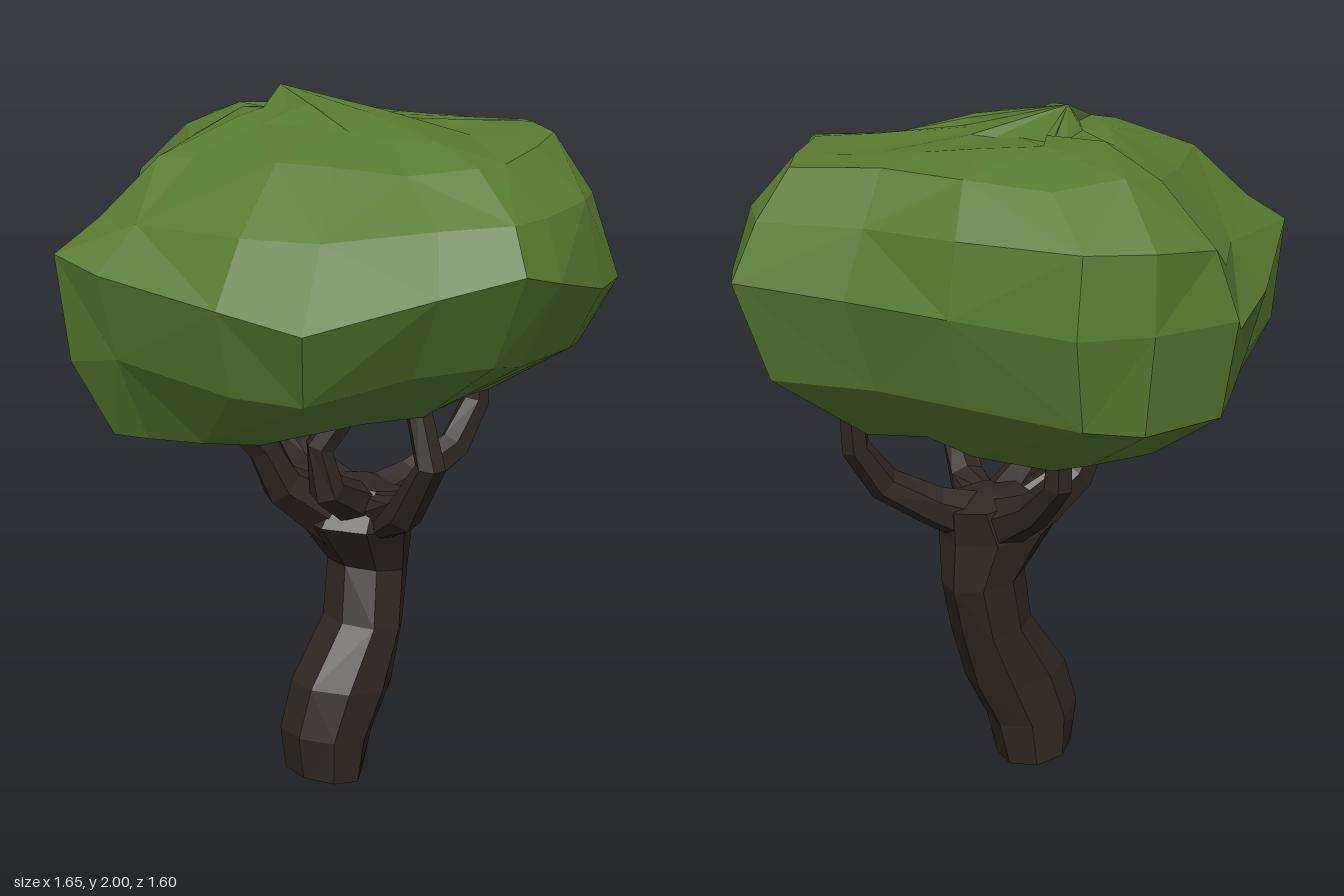
import * as THREE from 'three';

const leafMat = new THREE.MeshStandardMaterial({ color: 0x587a30, flatShading: true });
const barkMat = new THREE.MeshStandardMaterial({ color: 0x2f2723, flatShading: true });

// Skin a stack of equal-sized rings, closing both ends with a fan to a point
function loft(rings, start, end) {
  const pos = [];
  const tri = (...pts) => pts.forEach((p) => pos.push(p.x, p.y, p.z));
  const n = rings[0].length;
  const last = rings[rings.length - 1];
  for (let i = 0; i < n; i++) {
    const j = (i + 1) % n;
    tri(start, rings[0][i], rings[0][j]);
    tri(end, last[j], last[i]);
    for (let k = 0; k < rings.length - 1; k++) {
      const a = rings[k][i], b = rings[k][j], c = rings[k + 1][j], d = rings[k + 1][i];
      if ((i + k) % 2) { tri(a, d, c); tri(a, c, b); }
      else { tri(a, d, b); tri(d, c, b); }
    }
  }
  const geo = new THREE.BufferGeometry();
  geo.setAttribute('position', new THREE.Float32BufferAttribute(pos, 3));
  geo.computeVertexNormals();
  return geo;
}

function addMesh(group, name, geo, mat) {
  const mesh = new THREE.Mesh(geo, mat);
  mesh.name = name;
  group.add(mesh);
}

// Tapered limb with rings square to its path
function limb(points, r0, r1, sides = 6) {
  const path = points.map((p) => new THREE.Vector3(...p));
  const up = new THREE.Vector3(0.1, 0.2, 1).normalize();
  const rings = path.map((p, k) => {
    const t = path[Math.min(k + 1, path.length - 1)].clone()
      .sub(path[Math.max(k - 1, 0)]).normalize();
    const u = t.clone().cross(up).normalize();
    const v = u.clone().cross(t);
    const r = THREE.MathUtils.lerp(r0, r1, Math.sqrt(k / (path.length - 1)));
    return Array.from({ length: sides }, (_, i) => {
      const a = (i / sides) * Math.PI * 2;
      return p.clone().addScaledVector(u, Math.cos(a) * r).addScaledVector(v, Math.sin(a) * r);
    });
  });
  return loft(rings, path[0], path[path.length - 1]);
}

function trunkGeometry() {
  // x, y, z, radius in x, radius in z
  const stations = [
    [-0.095, 0.04, 0.07, 0.105, 0.115],
    [-0.09, 0.17, 0.075, 0.13, 0.12],
    [-0.035, 0.31, 0.075, 0.145, 0.125],
    [0.05, 0.48, 0.06, 0.11, 0.12],
    [0.085, 0.64, 0.035, 0.115, 0.11],
    [0.03, 0.78, 0.05, 0.165, 0.15],
    [0.08, 0.88, 0.03, 0.12, 0.12],
  ];
  const sides = 8;
  const rings = stations.map(([x, y, z, rx, rz]) => Array.from({ length: sides }, (_, i) => {
    const a = ((i + 0.5) / sides) * Math.PI * 2;
    // rings tilt slightly with the lean of the stem
    return new THREE.Vector3(x + Math.cos(a) * rx * 1.05, y - Math.cos(a) * 0.02,
      z + Math.sin(a) * rz * 1.05);
  }));
  return loft(rings, new THREE.Vector3(-0.1, 0, 0.07), new THREE.Vector3(0.08, 0.91, 0.03));
}

function canopyGeometry() {
  let seed = 23;
  const rand = (size) => {
    seed = (seed * 16807) % 2147483647;
    return (seed / 2147483647 - 0.5) * size;
  };
  // Plan outline (x, z), from +x round through +z
  const outline = [
    [0.82, -0.05], [0.76, 0.14], [0.62, 0.32], [0.58, 0.51], [0.4, 0.64], [0.15, 0.76],
    [0, 0.8], [-0.21, 0.73], [-0.53, 0.62], [-0.65, 0.43], [-0.79, 0.1], [-0.83, -0.05],
    [-0.6, -0.33], [-0.37, -0.58], [-0.26, -0.75], [0, -0.8], [0.19, -0.76], [0.42, -0.52],
    [0.6, -0.28],
  ];
  // Reach to +x, -x, +z, -z; heights there; height offsets at corners ++, -+, --, +-
  const levels = [
    [[0.48, 0.67, 0.38, 0.48], [1.15, 1.12, 1.16, 1.12], [0, 0, -0.02, 0]],
    [[0.72, 0.78, 0.69, 0.77], [1.31, 1.35, 1.35, 1.29], [0, -0.05, -0.03, 0.02]],
    [[0.82, 0.83, 0.8, 0.8], [1.6, 1.6, 1.59, 1.52], [-0.11, -0.1, -0.08, -0.02]],
    [[0.75, 0.7, 0.73, 0.77], [1.75, 1.7, 1.71, 1.74], [0, -0.02, -0.1, 0]],
    [[0.64, 0.52, 0.58, 0.61], [1.88, 1.86, 1.84, 1.87], [0.03, 0, -0.05, 0]],
    [[0.42, 0.28, 0.42, 0.4], [1.9, 1.93, 1.9, 1.92], [0, 0, 0, 0]],
    [[0.12, 0.2, 0.2, 0.24], [1.91, 1.96, 1.95, 1.93], [0, 0, 0, 0]],
  ];
  const rings = levels.map(([reach, height, corner], k) => outline.map(([ox, oz]) => {
    const sx = ox > 0 ? 0 : 1, sz = oz > 0 ? 2 : 3;
    const w = (ox * ox) / (ox * ox + oz * oz);
    const quadrant = oz > 0 ? sx : 3 - sx;
    const y = w * height[sx] + (1 - w) * height[sz] + 4 * w * (1 - w) * corner[quadrant];
    // the widest ring keeps its outline, the others wander a little
    const wander = k === 2 ? 0 : 0.045;
    return new THREE.Vector3(
      (ox / 0.825) * reach[sx] + rand(wander),
      y + rand(k === 2 ? 0.08 : 0.03),
      (oz / 0.8) * reach[sz] + rand(wander));
  }));
  return loft(rings, new THREE.Vector3(-0.15, 1.14, -0.05), new THREE.Vector3(-0.09, 2, -0.14));
}

export function createModel() {
  const tree = new THREE.Group();
  tree.name = 'tree';
  addMesh(tree, 'trunk', trunkGeometry(), barkMat);

  // Bent branches from the crown of the trunk into the foliage: path, then base radius
  const branches = {
    leftBranch: [[[0.08, 0.81, 0.04], [0.23, 0.87, 0.05], [0.37, 0.95, 0.07], [0.455, 1.07, 0.06], [0.47, 1.22, 0.05]], 0.085],
    frontBranch: [[[0.05, 0.79, 0.08], [0.03, 0.86, 0.28], [0.03, 1.02, 0.395], [0.03, 1.22, 0.32]], 0.08],
    backBranch: [[[0.06, 0.81, -0.02], [0.02, 0.9, -0.18], [0, 1.0, -0.28], [0, 1.22, -0.29]], 0.08],
    rightBranch: [[[0.03, 0.76, 0.04], [-0.2, 0.92, 0.02], [-0.265, 1.04, 0.02], [-0.42, 1.2, 0]], 0.1],
    innerBranch: [[[0.02, 0.83, 0.08], [-0.16, 0.94, 0.18], [-0.175, 1.06, 0.17], [-0.09, 1.2, 0.23]], 0.07],
  };
  for (const [name, [path, radius]] of Object.entries(branches)) {
    addMesh(tree, name, limb(path, radius, 0.035), barkMat);
  }

  addMesh(tree, 'canopy', canopyGeometry(), leafMat);
  return tree;
}
